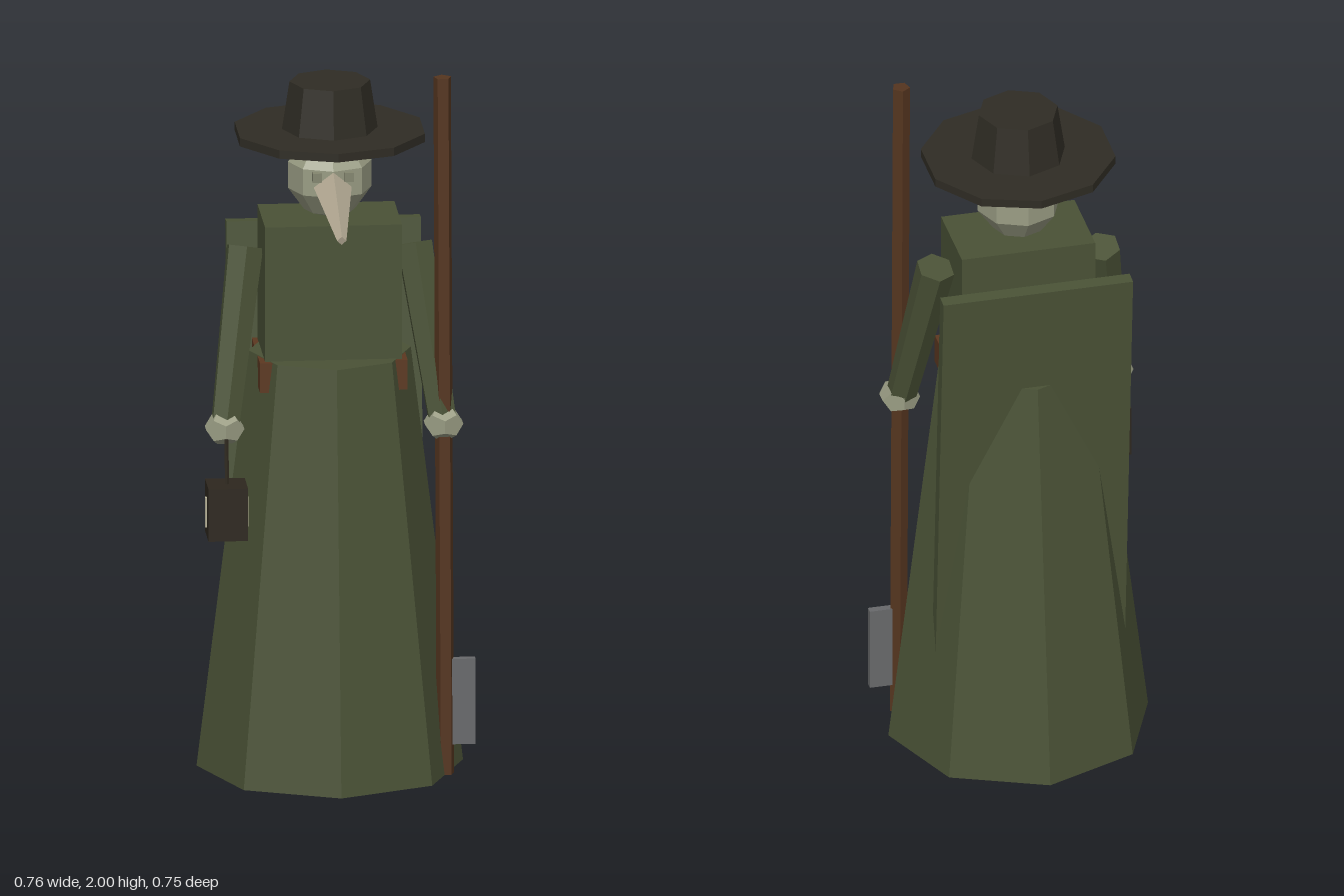
import * as THREE from 'three';

export function createModel() {
  const root = new THREE.Group();
  root.name = 'beakMaskWanderer';

  const mat = (name, color) => {
    const m = new THREE.MeshStandardMaterial({ color, flatShading: true });
    m.name = name;
    return m;
  };
  const cloth = mat('green cloth', 0x4a5236);
  const felt = mat('dark felt', 0x2f2c24);
  const skin = mat('pale mask', 0x9a9d84);
  const bone = mat('bone beak', 0xb3a993);
  const lens = mat('eye lens', 0x84866f);
  const wood = mat('staff wood', 0x55351f);
  const leather = mat('belt leather', 0x5c3820);
  const steel = mat('blade steel', 0x68696b);
  const iron = mat('lantern iron', 0x2d271e);
  const glass = mat('lantern glass', 0xb9b49a);

  const CX = -0.012, CZ = -0.008; // body axis
  const add = (name, geo, material, x, y, z) => {
    const m = new THREE.Mesh(geo, material);
    m.name = name;
    m.position.set(x, y, z);
    root.add(m);
    return m;
  };
  const box = (w, h, d) => new THREE.BoxGeometry(w, h, d);
  const cyl = (rTop, rBottom, h, n) => new THREE.CylinderGeometry(rTop, rBottom, h, n);

  // Faceted rod running from point a (radius ra) to point b (radius rb)
  const rod = (name, a, b, ra, rb, sides, material, turn = 0) => {
    const from = new THREE.Vector3(...a), to = new THREE.Vector3(...b);
    const dir = from.clone().sub(to);
    const geo = cyl(ra, rb, dir.length(), sides).rotateY(turn);
    const mid = from.add(to).multiplyScalar(0.5);
    const m = add(name, geo, material, mid.x, mid.y, mid.z);
    m.quaternion.setFromUnitVectors(new THREE.Vector3(0, 1, 0), dir.normalize());
    return m;
  };

  // Robe, belt and torso
  add('skirt', cyl(0.225, 0.37, 1.19, 8), cloth, CX, 0.595, CZ);
  add('belt', box(0.41, 0.085, 0.264), leather, CX, 1.146, CZ);
  add('torso', box(0.38, 0.387, 0.24), cloth, CX, 1.3815, CZ);

  // Cape leaning in towards the skirt
  add('cape', box(0.54, 1.18, 0.04), cloth, CX, 0.917, -0.175).rotation.x = -0.077;

  // Head, eyes and beak
  add('head', new THREE.SphereGeometry(0.122, 8, 5), skin, CX, 1.692, CZ);
  for (const s of [-1, 1]) {
    add('eye', box(0.026, 0.026, 0.03), lens, CX + s * 0.044, 1.712, 0.092);
  }
  rod('beak', [CX, 1.684, 0.07], [CX, 1.606, 0.373], 0.055, 0.013, 4, bone);

  // Hat
  add('hatBrim', cyl(0.27, 0.27, 0.024, 10), felt, CX, 1.812, CZ);
  add('hatCrown', cyl(0.112, 0.135, 0.15, 8), felt, CX, 1.885, CZ);

  // Sleeves and hands
  for (const s of [-1, 1]) {
    rod('sleeve', [CX + s * 0.235, 1.488, -0.01], [CX + s * 0.3, 1.025, 0.118],
      0.055, 0.043, 6, cloth);
    const hand = add('hand', new THREE.DodecahedronGeometry(0.057), skin, CX + s * 0.304, 1.008, 0.128);
    hand.scale.y = 0.88;
  }

  // Staff with a small blade near its foot
  rod('staff', [0.289, 2, 0.127], [0.298, 0, 0.127], 0.0255, 0.0255, 5, wood, Math.PI);
  add('blade', box(0.07, 0.245, 0.022), steel, 0.345, 0.207, 0.126);

  // Hanging lantern
  rod('lanternChain', [-0.315, 1.0, 0.17], [-0.315, 0.86, 0.195], 0.006, 0.006, 5, iron);
  add('lantern', box(0.11, 0.15, 0.112), iron, -0.316, 0.79, 0.194);
  for (const s of [-1, 1]) {
    add('lanternWindow', box(0.006, 0.085, 0.016), glass, -0.316 + s * 0.057, 0.785, 0.194);
  }

  return root;
}
